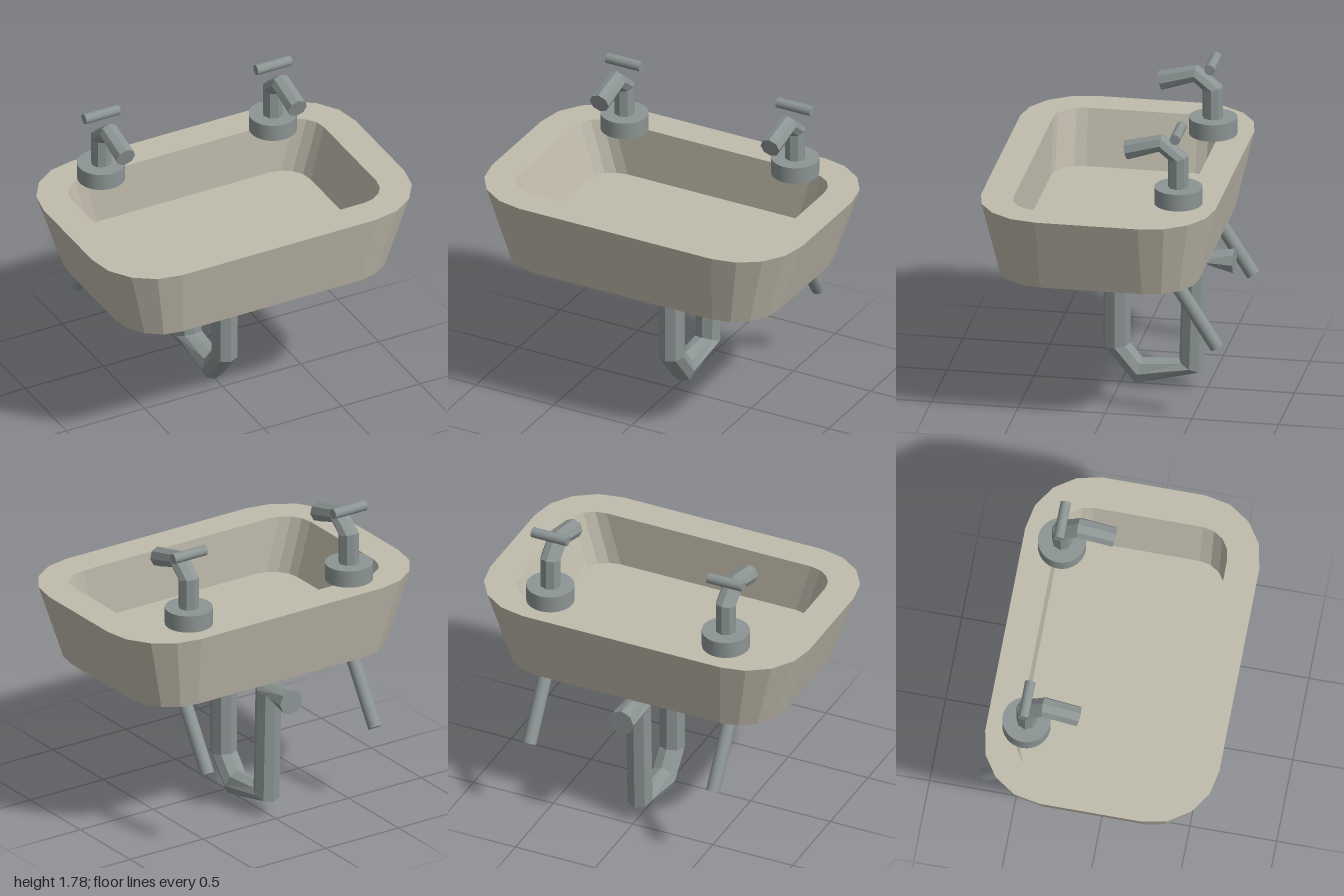
import * as THREE from 'three';

const ceramic = new THREE.MeshStandardMaterial({ color: 0xc0bbac, flatShading: true });
const metal = new THREE.MeshStandardMaterial({ color: 0x8c9494, flatShading: true });
const smoothMetal = new THREE.MeshStandardMaterial({ color: 0x8c9494 });

// Joins rings of equal point count with faceted walls and closes both ends
function loft(name, rings, material) {
  const pos = [];
  const tri = (...pts) => pts.forEach((p) => pos.push(p.x, p.y, p.z));
  const n = rings[0].length;
  const centre = (ring) => ring.reduce((s, p) => s.add(p), new THREE.Vector3()).divideScalar(n);
  const first = rings[0], last = rings[rings.length - 1];
  const c0 = centre(first), c1 = centre(last);
  for (let j = 0; j < n; j++) {
    const k = (j + 1) % n;
    for (let i = 0; i < rings.length - 1; i++) {
      const lo = rings[i], hi = rings[i + 1];
      tri(lo[j], hi[j], hi[k]);
      tri(lo[j], hi[k], lo[k]);
    }
    tri(c0, first[j], first[k]);
    tri(c1, last[k], last[j]);
  }
  const geo = new THREE.BufferGeometry();
  geo.setAttribute('position', new THREE.Float32BufferAttribute(pos, 3));
  geo.computeVertexNormals();
  const mesh = new THREE.Mesh(geo, material);
  mesh.name = name;
  return mesh;
}

// Horizontal rounded rectangle with four facets per corner
function roundedRing(halfX, zBack, zFront, r, y) {
  const pts = [];
  for (let q = 0; q < 4; q++) {
    const cx = (q === 0 || q === 3 ? 1 : -1) * (halfX - r);
    const cz = q < 2 ? zFront - r : zBack + r;
    for (let s = 0; s <= 4; s++) {
      const t = (q + s / 4) * Math.PI / 2;
      pts.push(new THREE.Vector3(cx + r * Math.cos(t), y, cz + r * Math.sin(t)));
    }
  }
  return pts;
}

// Eight-sided pipe; each section gives its outer and inner edge as [z, y, z, y]
function pipe(name, sections, halfWidth) {
  const rings = sections.map(([za, ya, zb, yb]) =>
    Array.from({ length: 8 }, (_, i) => {
      const t = i * Math.PI / 4, c = Math.cos(t) / 2;
      return new THREE.Vector3(
        halfWidth * Math.sin(t), (ya + yb) / 2 + c * (ya - yb), (za + zb) / 2 + c * (za - zb));
    }));
  return loft(name, rings, metal);
}

// Round bar between two points
function rod(name, from, to, r, sides = 24) {
  const a = new THREE.Vector3(...from), b = new THREE.Vector3(...to);
  const dir = b.clone().sub(a);
  const mesh = new THREE.Mesh(new THREE.CylinderGeometry(r, r, dir.length(), sides), smoothMetal);
  mesh.position.copy(a).add(b).multiplyScalar(0.5);
  mesh.quaternion.setFromUnitVectors(new THREE.Vector3(0, 1, 0), dir.normalize());
  mesh.name = name;
  return mesh;
}

export function createModel() {
  const model = new THREE.Group();
  model.name = 'washbasin';

  // Basin: outer wall, flat rim, inner wall, floor
  model.add(loft('basin', [
    roundedRing(0.85, -0.555, 0.592, 0.28, 0.878),
    roundedRing(1, -0.657, 0.692, 0.38, 1.33),
    roundedRing(0.81, -0.47, 0.503, 0.17, 1.33),
    roundedRing(0.72, -0.468, 0.501, 0.17, 1.01),
  ], ceramic));

  // Drain with its trap and the stub toward the wall
  model.add(pipe('drainPipe', [
    [0.1, 0.878, -0.057, 0.878],
    [0.1, 0.22, -0.057, 0.24],
    [-0.087, 0, -0.122, 0.157],
    [-0.478, 0.095, -0.337, 0.162],
    [-0.498, 0.77, -0.357, 0.808],
    [-0.655, 0.703, -0.655, 0.855],
  ], 0.077));

  for (const [side, s] of [['left', 1], ['right', -1]]) {
    // Tap: round base, bent spout, crossbar handle
    const tap = new THREE.Group();
    tap.name = side + 'Tap';
    tap.position.x = s * 0.55;
    tap.add(rod('tapBase', [0, 1.33, -0.432], [0, 1.43, -0.432], 0.137, 32));
    tap.add(pipe('spout', [
      [-0.489, 1.43, -0.372, 1.43],
      [-0.489, 1.618, -0.372, 1.593],
      [-0.339, 1.74, -0.324, 1.634],
      [-0.119, 1.688, -0.144, 1.575],
    ], 0.06));
    tap.add(rod('tapHandle', [-0.11, 1.753, -0.431], [0.11, 1.753, -0.431], 0.03));
    model.add(tap);

    // Slanted bracket under the basin
    model.add(rod(side + 'Bracket', [s * 0.575, 0.832, -0.433], [s * 0.575, 0.478, -0.657], 0.04));
  }
  return model;
}
